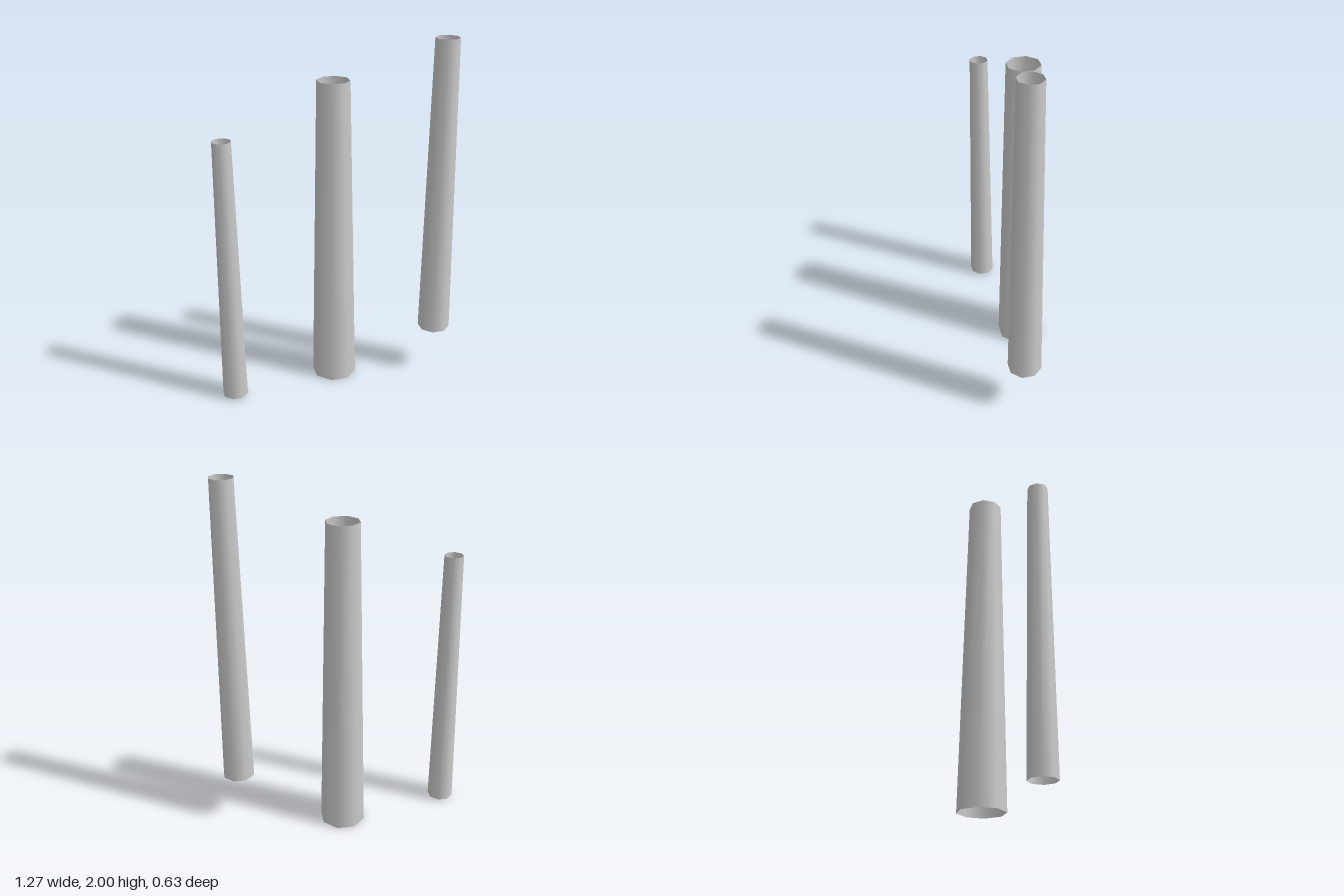
import * as THREE from 'three';

// Open-ended, tapered eight-sided tubes
const columns = [
  { name: 'centreColumn', x: 0.047, z: -0.108, y0: 0, y1: 1.785, bottom: 0.128, top: 0.091 },
  { name: 'rightColumn', x: -0.565, z: -0.246, y0: 0.013, y1: 1.535, bottom: 0.073, top: 0.052 },
  { name: 'leftColumn', x: 0.542, z: 0.224, y0: 0.284, y1: 2, bottom: 0.092, top: 0.066 },
];

export function createModel() {
  const model = new THREE.Group();
  model.name = 'columns';

  const grey = new THREE.MeshStandardMaterial({ color: 0xcccccc, side: THREE.DoubleSide });
  grey.name = 'light grey';

  for (const c of columns) {
    const height = c.y1 - c.y0;
    const tube = new THREE.CylinderGeometry(c.top, c.bottom, height, 8, 1, true);
    const mesh = new THREE.Mesh(tube, grey);
    mesh.name = c.name;
    mesh.position.set(c.x, c.y0 + height / 2, c.z);
    model.add(mesh);
  }
  return model;
}
